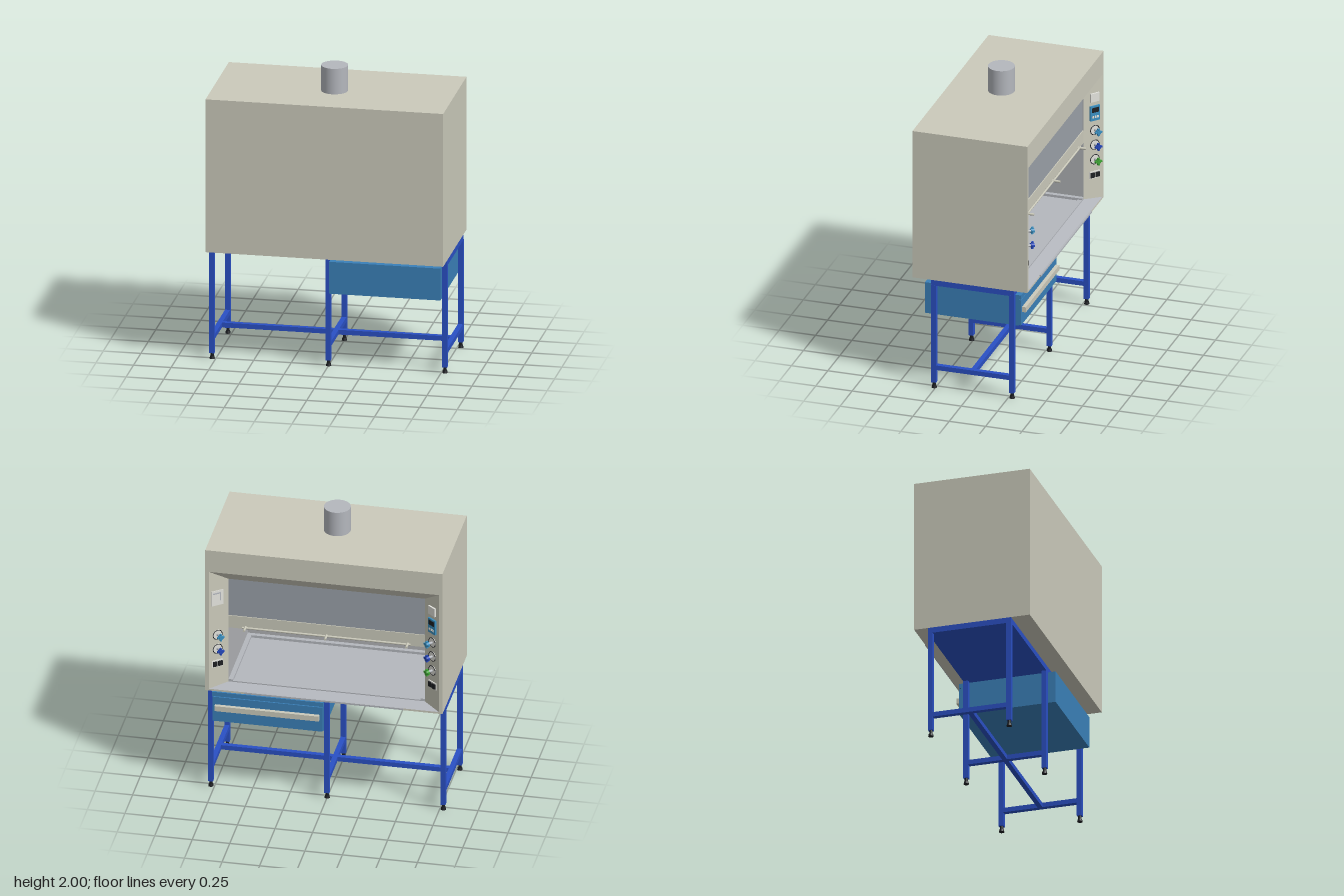
import * as THREE from 'three';

const mat = (color, side = THREE.FrontSide) => new THREE.MeshStandardMaterial({ color, side });
const beige = mat(0xcbcabb), frameBlue = mat(0x2a50c4), cabinetBlue = mat(0x3a80b8), steel = mat(0xb4b7bd);
const lining = mat(0xb0b2b5), glass = mat(0x9aa0a8), black = mat(0x1c1e22), pale = mat(0xe2e2dc);
const teal = mat(0x3a8fc0), knobBlue = mat(0x2446b8), green = mat(0x3fa535);

export function createModel() {
  const model = new THREE.Group();
  const add = (parent, name, geo, material, x = 0, y = 0, z = 0) => {
    const m = new THREE.Mesh(geo, material);
    m.name = name;
    m.position.set(x, y, z);
    parent.add(m);
    return m;
  };
  // box given by its limits on each axis
  const box = (parent, name, material, x0, x1, y0, y1, z0, z1) =>
    add(parent, name, new THREE.BoxGeometry(x1 - x0, y1 - y0, z1 - z0), material,
      (x0 + x1) / 2, (y0 + y1) / 2, (z0 + z1) / 2);
  const group = (name) => {
    const g = new THREE.Group();
    g.name = name;
    model.add(g);
    return g;
  };

  // Stand: six legs on feet, cross bars, a central stretcher and a top
  const stand = group('stand');
  const w = 0.0165, zLegs = [0.26, -0.275];
  for (const x of [-0.774, 0, 0.774]) {
    for (const z of zLegs) {
      box(stand, 'leg', frameBlue, x - w, x + w, 0.04, 0.74, z - w, z + w);
      add(stand, 'footPad', new THREE.CylinderGeometry(0.014, 0.018, 0.018, 20), black, x, 0.009, z);
      add(stand, 'footStem', new THREE.CylinderGeometry(0.011, 0.011, 0.024, 16), black, x, 0.029, z);
    }
    box(stand, 'crossBar', frameBlue, x - w, x + w, 0.133, 0.165, zLegs[1] + w, zLegs[0] - w);
  }
  for (const s of [-1, 1]) {
    box(stand, 'stretcher', frameBlue, s > 0 ? w : -0.774 + w, s > 0 ? 0.774 - w : -w, 0.133, 0.165, -0.024, 0.009);
  }
  box(stand, 'standTop', frameBlue, -0.79, 0.79, 0.737, 0.775, -0.2915, 0.2765);

  // Drawer cabinet under one half of the stand
  const cabinet = group('drawerCabinet');
  box(cabinet, 'cabinetBody', cabinetBlue, 0.017, 0.757, 0.517, 0.736, -0.315, 0.33);
  box(cabinet, 'drawerFront', cabinetBlue, 0.02, 0.754, 0.52, 0.7, -0.33, -0.315);
  box(cabinet, 'cabinetTopRail', cabinetBlue, 0.017, 0.757, 0.705, 0.736, -0.33, -0.315);
  box(cabinet, 'drawerHandle', beige, 0.04, 0.735, 0.608, 0.645, -0.356, -0.33);

  // Hood shell, open towards -z
  const hood = group('hood');
  for (const s of [-1, 1]) {
    const a = s * 0.79, b = s * 0.766;
    box(hood, 'sideWall', beige, Math.min(a, b), Math.max(a, b), 0.775, 1.825, -0.385, 0.405);
  }
  box(hood, 'rearPanel', beige, -0.766, 0.766, 0.775, 1.825, 0.385, 0.405);
  box(hood, 'roof', beige, -0.766, 0.766, 1.8, 1.825, -0.385, 0.385);
  box(hood, 'floor', beige, -0.766, 0.766, 0.775, 0.788, -0.385, 0.385);
  box(hood, 'fascia', beige, -0.766, 0.766, 1.665, 1.8, -0.385, -0.365);
  box(hood, 'sillLip', steel, -0.53, 0.53, 0.779, 0.791, -0.392, -0.38);
  add(hood, 'exhaustDuct', new THREE.CylinderGeometry(0.088, 0.088, 0.175, 48), steel, 0, 1.9125, 0.055);

  // Splayed surround: four slanted faces joining the outer and inner openings
  const outer = [[0.766, 0.788], [0.766, 1.665], [-0.766, 1.665], [-0.766, 0.788]];
  const inner = [[0.654, 0.805], [0.654, 1.575], [-0.654, 1.575], [-0.654, 0.805]];
  const sillGrey = mat(0xb4b7bd, THREE.DoubleSide), beigeThin = mat(0xcbcabb, THREE.DoubleSide);
  ['leftPillar', 'surroundTop', 'rightPillar', 'sill'].forEach((name, i) => {
    const j = (i + 1) % 4;
    const geo = new THREE.BufferGeometry();
    geo.setAttribute('position', new THREE.Float32BufferAttribute([
      ...outer[i], -0.385, ...outer[j], -0.385, ...inner[j], -0.293, ...inner[i], -0.293], 3));
    geo.setIndex([0, 1, 2, 0, 2, 3]);
    geo.computeVertexNormals();
    add(hood, name, geo, name === 'sill' ? sillGrey : beigeThin);
  });

  // Working chamber with a raised rim around the worktop
  const chamber = group('chamber');
  for (const s of [-1, 1]) {
    const lo = s > 0 ? 0.654 : -0.666;
    box(chamber, 'liningSide', lining, lo, lo + 0.012, 0.788, 1.78, -0.292, 0.35);
    const rim = s > 0 ? 0.624 : -0.654;
    box(chamber, 'worktopRimSide', steel, rim, rim + 0.03, 0.8, 0.822, -0.292, 0.335);
  }
  box(chamber, 'baffle', lining, -0.654, 0.654, 0.788, 1.78, 0.335, 0.35);
  box(chamber, 'ceiling', lining, -0.654, 0.654, 1.768, 1.78, -0.292, 0.335);
  box(chamber, 'worktop', steel, -0.624, 0.624, 0.788, 0.805, -0.292, 0.305);
  box(chamber, 'worktopRimRear', steel, -0.624, 0.624, 0.8, 0.822, 0.305, 0.335);
  box(chamber, 'worktopRimFront', steel, -0.624, 0.624, 0.8, 0.812, -0.292, -0.262);

  // Sliding sash with a grip rod on brackets
  const sash = group('sash');
  box(sash, 'sashPane', glass, -0.654, 0.654, 1.3, 1.6, -0.286, -0.278);
  box(sash, 'sashBar', beige, -0.654, 0.654, 1.21, 1.3, -0.292, -0.272);
  const rod = add(sash, 'gripRod', new THREE.CylinderGeometry(0.007, 0.007, 1.12, 12), beige, 0, 1.222, -0.3);
  rod.rotation.z = Math.PI / 2;
  for (const x of [-0.54, 0, 0.54]) {
    const peg = add(sash, 'gripBracket', new THREE.CylinderGeometry(0.008, 0.008, 0.06, 12), beige, x, 1.225, -0.318);
    peg.rotation.x = Math.PI / 2;
  }

  // Control panels; local +z points out of each slanted pillar, y stays in model height
  const controlPanel = (name, s) => {
    const g = group(name);
    g.position.set(s * 0.718, 0, -0.3456);
    g.rotation.y = Math.atan2(-s * 0.635, -0.773);
    return g;
  };
  const valve = (g, y, material) => {
    const disc = add(g, 'valvePlate', new THREE.CylinderGeometry(0.034, 0.034, 0.006, 32), pale, 0, y, 0.004);
    const ring = add(g, 'valveRing', new THREE.TorusGeometry(0.033, 0.003, 8, 32), black, 0, y, 0.006);
    const stem = add(g, 'valveStem', new THREE.CylinderGeometry(0.009, 0.009, 0.04, 16), steel, 0, y, 0.026);
    const hub = add(g, 'valveHub', new THREE.CylinderGeometry(0.014, 0.016, 0.024, 20), material, 0, y, 0.05);
    for (const m of [disc, stem, hub]) m.rotation.x = Math.PI / 2;
    ring.scale.z = 0.6;
    for (const a of [0, Math.PI / 2]) {
      add(g, 'valveGrip', new THREE.BoxGeometry(0.05, 0.011, 0.016), material, 0, y, 0.05).rotation.z = a;
    }
  };
  const sockets = (g) => {
    box(g, 'socketPlate', pale, -0.04, 0.04, 0.94, 0.99, 0, 0.006);
    for (const x of [-0.019, 0.019]) {
      box(g, 'socket', black, x - 0.015, x + 0.015, 0.948, 0.982, 0.006, 0.014);
    }
  };

  const left = controlPanel('leftControls', 1);
  box(left, 'servicePlate', pale, -0.045, 0.045, 1.4, 1.51, 0, 0.004);
  box(left, 'servicePlateEdge', steel, -0.035, 0.025, 1.487, 1.495, 0.004, 0.009);
  box(left, 'servicePlateEdge', steel, 0.017, 0.025, 1.435, 1.487, 0.004, 0.009);
  valve(left, 1.18, teal);
  valve(left, 1.075, knobBlue);
  sockets(left);

  const right = controlPanel('rightControls', -1);
  box(right, 'switchBox', pale, -0.034, 0.034, 1.49, 1.55, 0, 0.012);
  box(right, 'displayHousing', teal, -0.036, 0.036, 1.355, 1.46, 0, 0.012);
  box(right, 'displayScreen', black, -0.026, 0.026, 1.415, 1.448, 0.012, 0.015);
  for (const x of [-0.018, 0, 0.018]) {
    box(right, 'displayButton', pale, x - 0.006, x + 0.006, 1.375, 1.39, 0.012, 0.016);
  }
  valve(right, 1.285, teal);
  valve(right, 1.18, knobBlue);
  valve(right, 1.075, green);
  sockets(right);

  return model;
}
